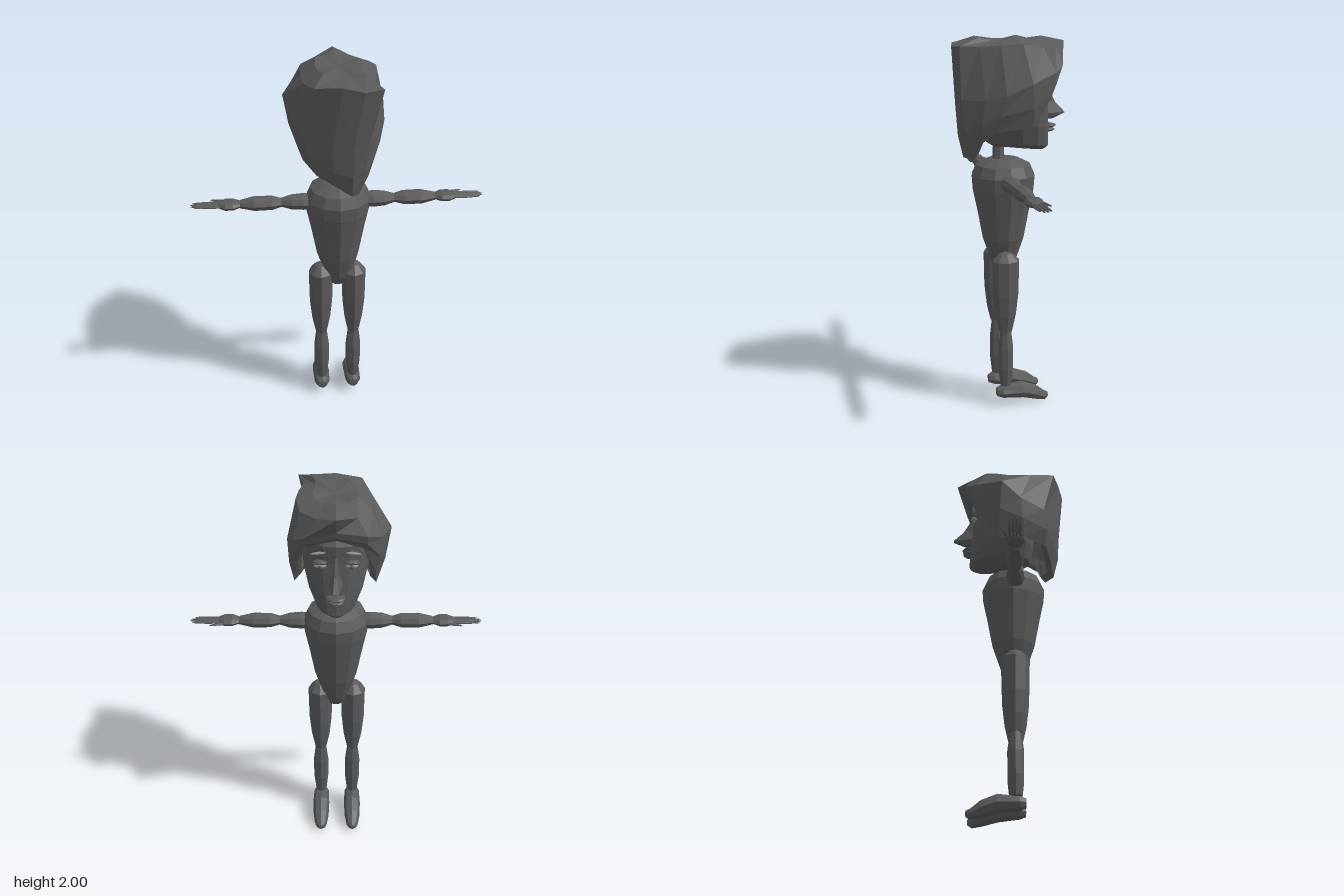
import * as THREE from 'three';

const grey = new THREE.MeshStandardMaterial({ color: 0x5a5a5a, flatShading: true });
grey.name = 'bodyGrey';
const hairGrey = new THREE.MeshStandardMaterial({ color: 0x5a5a5a, flatShading: true, side: THREE.DoubleSide });
hairGrey.name = 'hairGrey';
const pale = new THREE.MeshStandardMaterial({ color: 0x8c8c8c, flatShading: true });
pale.name = 'eyeGrey';

function add(parent, name, geometry, material = grey) {
  const mesh = new THREE.Mesh(geometry, material);
  mesh.name = name;
  parent.add(mesh);
  return mesh;
}

// turned part from [radius, height] pairs, bottom to top
function turned(profile, sides) {
  return new THREE.LatheGeometry(profile.map(([r, y]) => new THREE.Vector2(r, y)), sides);
}

// skin over closed rings of [x, y, z] points
function loft(rings) {
  const n = rings[0].length, index = [];
  for (let i = 0; i < rings.length - 1; i++) {
    for (let j = 0; j < n; j++) {
      const a = i * n + j, b = i * n + (j + 1) % n;
      index.push(a, b, b + n, a, b + n, a + n);
    }
  }
  const g = new THREE.BufferGeometry();
  g.setAttribute('position', new THREE.Float32BufferAttribute(rings.flat(2), 3));
  g.setIndex(index);
  g.computeVertexNormals();
  return g;
}

function ring(n, point) {
  return Array.from({ length: n }, (_, j) => {
    const a = (j / n) * Math.PI * 2;
    return point(Math.sin(a), Math.cos(a));
  });
}

function makeLeg(x, side) {
  const leg = new THREE.Group();
  leg.name = side + 'Leg';
  leg.position.x = x;
  const thigh = turned([[0, 0.43], [0.032, 0.44], [0.05, 0.53], [0.062, 0.65], [0.065, 0.84], [0.03, 0.88], [0, 0.89]], 8);
  thigh.scale(1, 1, 1.15).translate(0, 0, 0.03);
  add(leg, 'thigh', thigh);
  const shin = turned([[0, 0.115], [0.03, 0.12], [0.041, 0.22], [0.042, 0.34], [0.03, 0.44], [0, 0.45]], 8);
  shin.translate(0, 0, 0.03);
  add(leg, 'shin', shin);
  // stations from heel to toe: z, centre height, half width, half height
  const stations = [[0.082, 0.08, 0, 0], [0.08, 0.08, 0.025, 0.025], [0.05, 0.08, 0.043, 0.036], [-0.06, 0.079, 0.047, 0.049],
    [-0.14, 0.053, 0.043, 0.044], [-0.19, 0.028, 0.032, 0.028], [-0.212, 0.03, 0.015, 0.015], [-0.215, 0.03, 0, 0]];
  add(leg, 'foot', loft(stations.map(([z, y, w, h]) => ring(8, (s, c) => [w * s, y + h * c, z]))));
  return leg;
}

function makeArm(dir, side) {
  const arm = new THREE.Group();
  arm.name = side + 'Arm';
  arm.position.set(0, 1.27, 0.03);
  const segment = (name, profile, flat) => {
    const g = turned(profile, 8);
    g.rotateZ(-dir * Math.PI / 2).scale(1, flat, 1);
    add(arm, name, g);
  };
  segment('upperArm', [[0, 0.1], [0.042, 0.12], [0.05, 0.18], [0.045, 0.24], [0.026, 0.295], [0, 0.3]], 0.85);
  segment('forearm', [[0, 0.28], [0.025, 0.285], [0.044, 0.34], [0.046, 0.43], [0.026, 0.505], [0, 0.51]], 0.8);
  segment('palm', [[0, 0.5], [0.028, 0.505], [0.047, 0.54], [0.047, 0.58], [0.03, 0.61], [0, 0.615]], 0.52);
  // fingers and thumb: name, z, start, end, splay
  for (const [name, z, x0, x1, splay] of [['indexFinger', -0.026, 0.6, 0.75, 0], ['middleFinger', -0.008, 0.6, 0.763, 0],
    ['ringFinger', 0.009, 0.6, 0.76, 0], ['littleFinger', 0.025, 0.6, 0.74, 0], ['thumb', -0.03, 0.55, 0.66, 0.25]]) {
    const len = x1 - x0;
    const g = turned([[0, 0], [0.007, 0.01], [0.008, len * 0.5], [0.005, len * 0.9], [0, len]], 6);
    g.rotateZ(-dir * Math.PI / 2).rotateY(dir * splay).scale(1, 0.8, 1);
    add(arm, name, g).position.set(dir * x0, 0, z);
  }
  return arm;
}

function makeHead() {
  const head = new THREE.Group();
  head.name = 'head';
  // rings from jaw to crown: height, half width, front z, back z
  const levels = [[1.44, 0, -0.1, -0.1], [1.44, 0.055, -0.2, 0.07], [1.465, 0.1, -0.225, 0.11], [1.55, 0.142, -0.22, 0.13],
    [1.63, 0.16, -0.215, 0.14], [1.71, 0.165, -0.21, 0.15], [1.8, 0.16, -0.215, 0.15], [1.88, 0.12, -0.17, 0.1], [1.89, 0, 0, 0]];
  add(head, 'face', loft(levels.map(([y, w, f, b]) => ring(16, (s, c) => {
    const z = (f + b) / 2 + (b - f) / 2 * Math.sign(c) * Math.pow(Math.abs(c), 0.75);
    return [w * s, y - (y < 1.5 ? Math.max(0, -z) * 0.12 : 0), z];
  }))));
  // nose, a wedge from the brow to the tip
  const nose = [[1.74, 0.012, -0.195, -0.22], [1.66, 0.02, -0.195, -0.262], [1.605, 0.036, -0.195, -0.315], [1.575, 0.028, -0.195, -0.25]];
  const noseRings = [...nose].reverse().map(([y, w, back, tip]) => [[w, y, back], [w * 0.4, y, tip], [-w * 0.4, y, tip], [-w, y, back]]);
  noseRings.unshift(Array(4).fill([0, 1.575, -0.2]));
  noseRings.push(Array(4).fill([0, 1.745, -0.2]));
  add(head, 'nose', loft(noseRings));
  // lips and chin
  const blob = (name, w, h, d, x, y, z, material) => {
    const m = add(head, name, new THREE.SphereGeometry(1, 10, 6).scale(w, h, d), material);
    m.position.set(x, y, z);
    return m;
  };
  blob('upperLip', 0.05, 0.012, 0.045, 0, 1.54, -0.222);
  blob('lowerLip', 0.04, 0.012, 0.04, 0, 1.518, -0.222);
  blob('chin', 0.045, 0.03, 0.03, 0, 1.447, -0.195);
  for (const s of [-1, 1]) {
    blob('eye', 0.032, 0.014, 0.018, s * 0.075, 1.7, -0.2, pale);
    blob('eyelid', 0.038, 0.012, 0.022, s * 0.075, 1.718, -0.2);
    blob('pupil', 0.011, 0.011, 0.008, s * 0.075, 1.698, -0.215);
    blob('eyebrow', 0.042, 0.006, 0.012, s * 0.08, 1.765, -0.2, pale).rotation.z = -s * 0.12;
  }
  return head;
}

// hair in locks around the head, each with its rim, side and hem point
function makeHair() {
  const locks = [
    [0, -0.305, 1.975, 0, -0.255, 1.89, 0, -0.225, 1.84],
    [0.09, -0.23, 1.95, 0.15, -0.25, 1.86, 0.14, -0.21, 1.8],
    [0.17, -0.14, 1.95, 0.2, -0.2, 1.83, 0.185, -0.18, 1.71],
    [0.19, -0.03, 1.97, 0.235, -0.07, 1.78, 0.205, -0.08, 1.56],
    [0.18, 0.08, 1.965, 0.225, 0.06, 1.72, 0.17, 0.1, 1.54],
    [0.16, 0.18, 1.96, 0.18, 0.16, 1.7, 0.14, 0.17, 1.48],
    [0.19, 0.29, 1.965, 0.13, 0.27, 1.7, 0.09, 0.2, 1.39],
    [0.1, 0.31, 1.96, 0.05, 0.28, 1.65, 0.05, 0.245, 1.4],
    [0, 0.285, 1.975, -0.05, 0.26, 1.65, -0.03, 0.23, 1.45],
    [-0.13, 0.25, 1.965, -0.18, 0.19, 1.7, -0.12, 0.2, 1.5],
    [-0.17, 0.12, 1.94, -0.23, 0.06, 1.75, -0.18, 0.08, 1.53],
    [-0.18, -0.02, 1.93, -0.268, -0.04, 1.83, -0.2, -0.06, 1.54],
    [-0.17, -0.13, 1.95, -0.22, -0.18, 1.84, -0.19, -0.17, 1.66],
    [-0.1, -0.22, 1.95, -0.15, -0.25, 1.87, -0.13, -0.22, 1.8]];
  const rim = locks.map(([x, z, y]) => [x, y, z]);
  const side = locks.map(l => [l[3], l[5], l[4]]);
  const hem = locks.map(l => [l[6], l[8], l[7]]);
  const lower = side.map((p, j) => p.map((v, k) => v * 0.45 + hem[j][k] * 0.55 + (k === 1 ? 0 : v * 0.04)));
  const crown = rim.map(([x, , z], j) => [x * 0.6, j % 3 ? 1.985 : 2, z * 0.6]);
  const inner = hem.map(([x, y, z]) => [x * 0.85, y + 0.03, z * 0.85]);
  return loft([rim.map(() => [0, 1.98, 0]), crown, rim, side, lower, hem, inner]);
}

export function createModel() {
  const model = new THREE.Group();
  model.name = 'jointedFigure';
  const torso = turned([[0, 0.755], [0.04, 0.765], [0.065, 0.81], [0.112, 0.95], [0.14, 1.1], [0.165, 1.22],
    [0.17, 1.29], [0.145, 1.345], [0.08, 1.377], [0, 1.38]], 12);
  add(model, 'torso', torso.translate(0, 0, 0.02));
  add(model, 'neck', new THREE.CylinderGeometry(0.028, 0.034, 0.14, 8)).position.set(0, 1.42, 0.045);
  model.add(makeHead());
  add(model, 'hair', makeHair(), hairGrey);
  model.add(makeArm(1, 'left'), makeArm(-1, 'right'));
  model.add(makeLeg(0.086, 'left'), makeLeg(-0.094, 'right'));
  return model;
}
